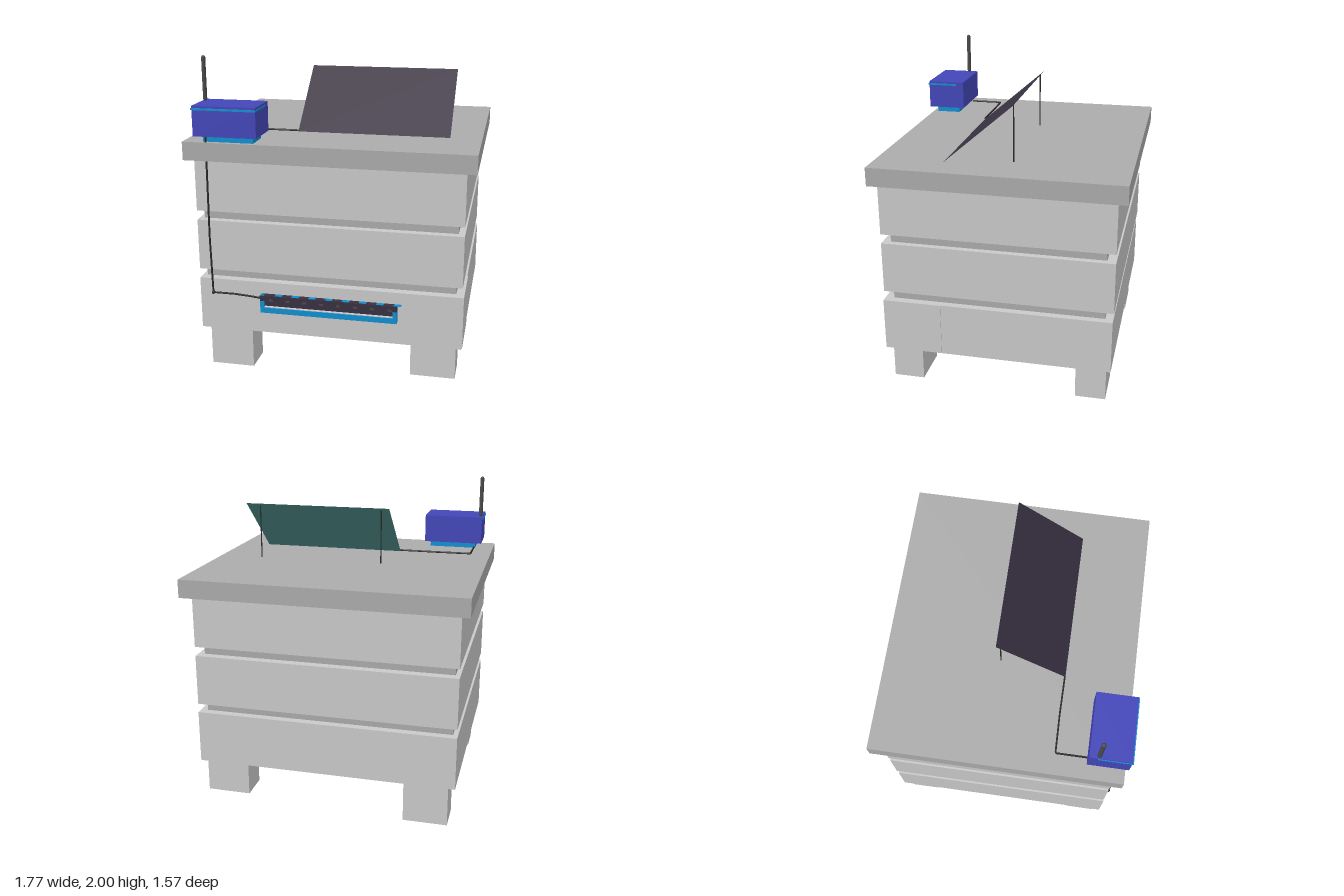
import * as THREE from 'three';

const mat = (name, color, side = THREE.FrontSide) => {
  const m = new THREE.MeshStandardMaterial({ color, side });
  m.name = name;
  return m;
};

export function createModel() {
  const root = new THREE.Group();
  root.name = 'beehive';
  const light = mat('lightGrey', 0xc9c9c9);
  const grey = mat('midGrey', 0xabababab & 0xffffff);
  const blue = mat('blue', 0x4346b8);
  const cyan = mat('cyan', 0x108fd0);
  const panelDark = mat('panelDark', 0x383040);
  const panelTeal = mat('panelTeal', 0x4c8a88);
  const black = mat('black', 0x2a2a2a);
  const antennaGrey = mat('antennaGrey', 0x4a4a4a);

  const add = (name, geometry, material, parent = root) => {
    const mesh = new THREE.Mesh(geometry, material);
    mesh.name = name;
    parent.add(mesh);
    return mesh;
  };
  // Box given by its limits on each axis
  const box = (name, [x0, x1], [y0, y1], [z0, z1], material, parent) => {
    const mesh = add(name, new THREE.BoxGeometry(x1 - x0, y1 - y0, z1 - z0), material, parent);
    mesh.position.set((x0 + x1) / 2, (y0 + y1) / 2, (z0 + z1) / 2);
    return mesh;
  };
  // Straight-segment cable through a list of points
  const cable = (name, points, radius) => {
    const path = new THREE.CurvePath();
    const v = points.map((p) => new THREE.Vector3(...p));
    for (let i = 1; i < v.length; i++) path.add(new THREE.LineCurve3(v[i - 1], v[i]));
    add(name, new THREE.TubeGeometry(path, 60, radius, 6), black);
  };

  // Hive body: three boxes separated by recessed necks, with a lid
  box('lowerBox', [-0.835, 0.83], [0.27, 0.61], [-0.72, 0.72], light);
  box('middleBox', [-0.835, 0.825], [0.67, 0.995], [-0.725, 0.715], light);
  box('upperBox', [-0.835, 0.825], [1.055, 1.385], [-0.725, 0.715], light);
  box('sidePlate', [0.83, 0.835], [0.275, 0.61], [0.35, 0.72], light);
  for (const y of [0.61, 0.995]) box('neck', [-0.805, 0.785], [y, y + 0.06], [-0.67, 0.665], grey);
  box('lid', [-0.89, 0.885], [1.385, 1.5], [-0.785, 0.76], grey);

  // Legs, shorter on the left side
  for (const z of [[0.49, 0.685], [-0.69, -0.5]]) {
    box('rightLeg', [-0.79, -0.51], [0, 0.27], z, light);
    box('leftLeg', [0.515, 0.795], [0.05, 0.27], z, light);
  }

  // Sloped solar panel: dark face in front, teal behind
  const panel = new THREE.Group();
  panel.name = 'solarPanel';
  const rise = 0.365, run = 0.425;
  panel.position.set(0.2075, 1.5 + rise / 2, 0.3375 - run / 2);
  panel.rotation.x = -Math.atan2(run, rise);
  root.add(panel);
  const sheet = new THREE.PlaneGeometry(0.965, Math.hypot(rise, run));
  add('panelFace', sheet, panelDark, panel).position.z = 0.002;
  const back = add('panelBack', sheet, panelTeal, panel);
  back.rotation.y = Math.PI;
  back.position.z = -0.002;
  for (const x of [-0.22, 0.6]) {
    const post = add('panelPost', new THREE.CylinderGeometry(0.004, 0.004, 0.35, 8), black);
    post.position.set(x, 1.675, -0.07);
  }

  // Control box on a small base, with a trim band and antenna
  box('controlBase', [-0.765, -0.45], [1.5, 1.54], [0.57, 0.73], cyan);
  box('controlBox', [-0.81, -0.415], [1.54, 1.725], [0.527, 0.777], blue);
  box('trimBand', [-0.814, -0.413], [1.7, 1.712], [0.58, 0.784], cyan);
  const antenna = add('antenna', new THREE.CapsuleGeometry(0.013, 0.25, 4, 10), antennaGrey);
  antenna.position.set(-0.795, 1.862, 0.585);

  // Cables
  cable('panelCable', [[-0.76, 1.508, 0.55], [-0.76, 1.508, 0.337], [-0.52, 1.508, 0.333], [-0.27, 1.508, 0.335]], 0.006);
  cable('entranceCable', [[-0.74, 1.55, 0.752], [-0.745, 0.9, 0.752], [-0.738, 0.53, 0.752],
    [-0.6, 0.527, 0.745], [-0.5, 0.518, 0.74], [-0.42, 0.51, 0.74]], 0.006);
  add('cableElbow', new THREE.SphereGeometry(0.012, 8, 6), black).position.set(-0.738, 0.53, 0.752);

  // Entrance counter: cyan frame, dark opening and sensor strip
  const entrance = new THREE.Group();
  entrance.name = 'entrance';
  root.add(entrance);
  box('frameBottom', [-0.43, 0.435], [0.42, 0.455], [0.715, 0.757], cyan, entrance);
  for (const x of [-0.43, 0.41]) box('frameSide', [x, x + 0.025], [0.455, 0.535], [0.715, 0.757], cyan, entrance);
  box('opening', [-0.405, 0.41], [0.455, 0.505], [0.715, 0.735], panelDark, entrance);
  box('ledge', [-0.405, 0.41], [0.455, 0.459], [0.735, 0.752], light, entrance);
  box('sensorStrip', [-0.43, 0.435], [0.5, 0.535], [0.715, 0.76], panelDark, entrance);
  for (let i = 0; i < 8; i++) {
    const x = -0.37 + i * 0.107;
    box('sensor', [x, x + 0.025], [0.502, 0.514], [0.758, 0.763], antennaGrey, entrance);
    box('gate', [x + 0.035, x + 0.08], [0.533, 0.537], [0.725, 0.752], cyan, entrance);
  }
  return root;
}
